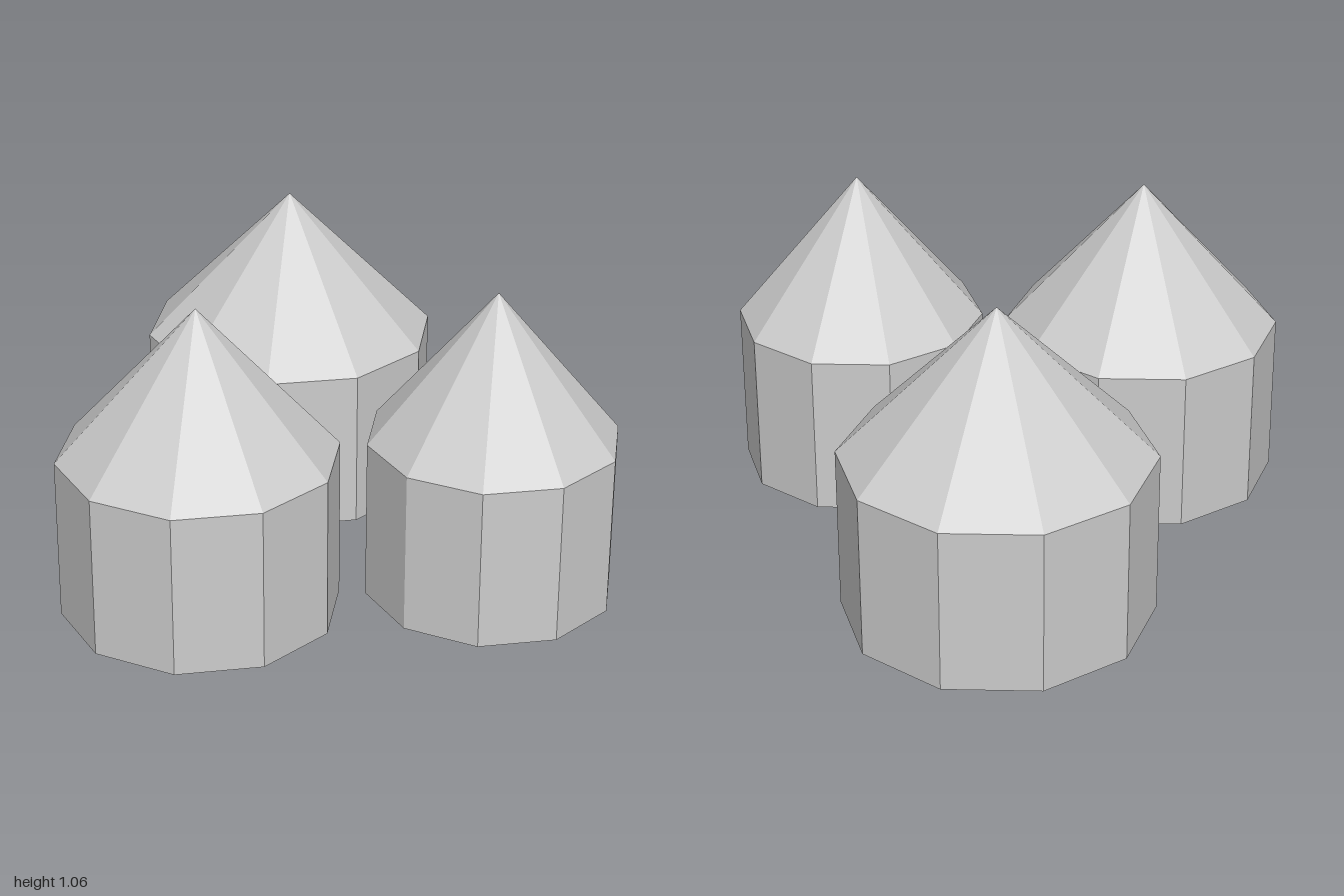
import * as THREE from 'three';

const SIDES = 10;
const EAVE = 0.555;
const PEAK = 1.065;

export function createModel() {
  const group = new THREE.Group();
  group.name = 'huts';

  const grey = new THREE.MeshStandardMaterial({ color: 0xcccccc, flatShading: true, side: THREE.DoubleSide });
  grey.name = 'plain grey';

  // One hut: a ten-sided wall open at the floor, under a pointed roof
  function addHut(name, x, z, radius) {
    const hut = new THREE.Group();
    hut.name = name;
    hut.position.set(x, 0, z);

    const wall = new THREE.Mesh(new THREE.CylinderGeometry(radius, radius, EAVE, SIDES, 1, true), grey);
    wall.name = 'wall';
    wall.position.y = EAVE / 2;

    // The roof's closed base is the ceiling
    const roof = new THREE.Mesh(new THREE.ConeGeometry(radius, PEAK - EAVE, SIDES, 1), grey);
    roof.name = 'roof';
    roof.position.y = (EAVE + PEAK) / 2;

    hut.add(wall, roof);
    group.add(hut);
  }

  addHut('largeHut', -0.515, -0.45, 0.51);
  addHut('smallHut', 0.597, -0.28, 0.424);
  addHut('frontHut', -0.004, 0.488, 0.468);

  return group;
}
